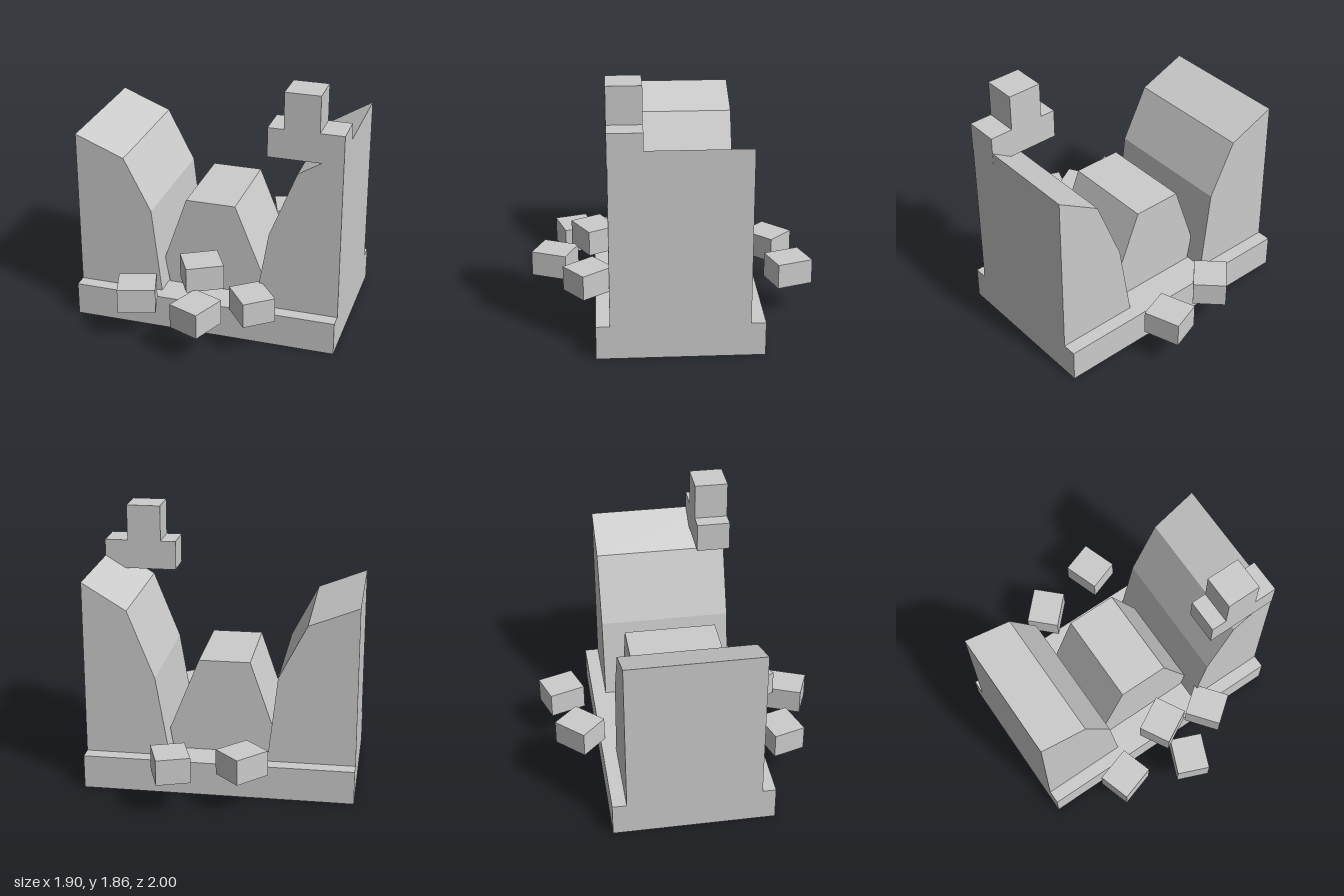
import * as THREE from 'three';

const stone = new THREE.MeshStandardMaterial({ color: 0xcccccc, flatShading: true });

export function createModel() {
  const model = new THREE.Group();
  model.name = 'rockyGorge';

  function add(name, geometry) {
    const mesh = new THREE.Mesh(geometry, stone);
    mesh.name = name;
    model.add(mesh);
    return mesh;
  }

  // Box given by its limits on each axis
  function block(name, [x0, x1], [y0, y1], [z0, z1]) {
    add(name, new THREE.BoxGeometry(x1 - x0, y1 - y0, z1 - z0))
      .position.set((x0 + x1) / 2, (y0 + y1) / 2, (z0 + z1) / 2);
  }

  // Front outline extruded from z0 to z1
  function prism(name, outline, z0, z1) {
    const shape = new THREE.Shape(outline.map(([x, y]) => new THREE.Vector2(x, y)));
    const geometry = new THREE.ExtrudeGeometry(shape, { depth: z1 - z0, bevelEnabled: false });
    add(name, geometry.translate(0, 0, z0));
  }

  // Ground slab
  const ground = 0.24;
  block('base', [-0.95, 0.95], [0, ground], [-0.6, 0.545]);

  // Cliffs on both sides and the rock between them
  prism('rightCliff', [[-0.95, ground], [-0.335, ground], [-0.405, 0.86], [-0.6, 1.24], [-0.95, 1.38]], -0.5, 0.45);
  prism('leftCliff', [[0.355, ground], [0.95, ground], [0.95, 1.48], [0.64, 1.29], [0.45, 0.81]], -0.5, 0.45);
  prism('centreRock', [[-0.325, ground], [0.35, ground], [0.375, 0.39], [0.165, 0.91], [-0.195, 0.91], [-0.36, 0.43]], -0.36, 0.305);

  // Stepped lookout overhanging the left cliff
  block('lookoutBase', [0.43, 0.951], [1.39, 1.6], [0.215, 0.453]);
  block('lookoutTop', [0.54, 0.785], [1.6, 1.86], [0.215, 0.453]);

  // Loose boulders: x, bottom y, z, turn about y
  const boulders = [
    [-0.433, ground, 0.688, 0.3],
    [-0.003, 0.41, 0.543, 0.505],
    [0.045, ground, 0.832, 1.18],
    [0.376, ground, 0.594, -0.91],
    [-0.191, ground, -0.744, 0.8],
    [0.284, ground, -0.838, -1.24],
  ];
  boulders.forEach(([x, y, z, turn], i) => {
    const boulder = add(`boulder${i + 1}`, new THREE.BoxGeometry(0.265, 0.18, 0.235));
    boulder.position.set(x, y + 0.09, z);
    boulder.rotation.y = turn;
  });

  return model;
}
